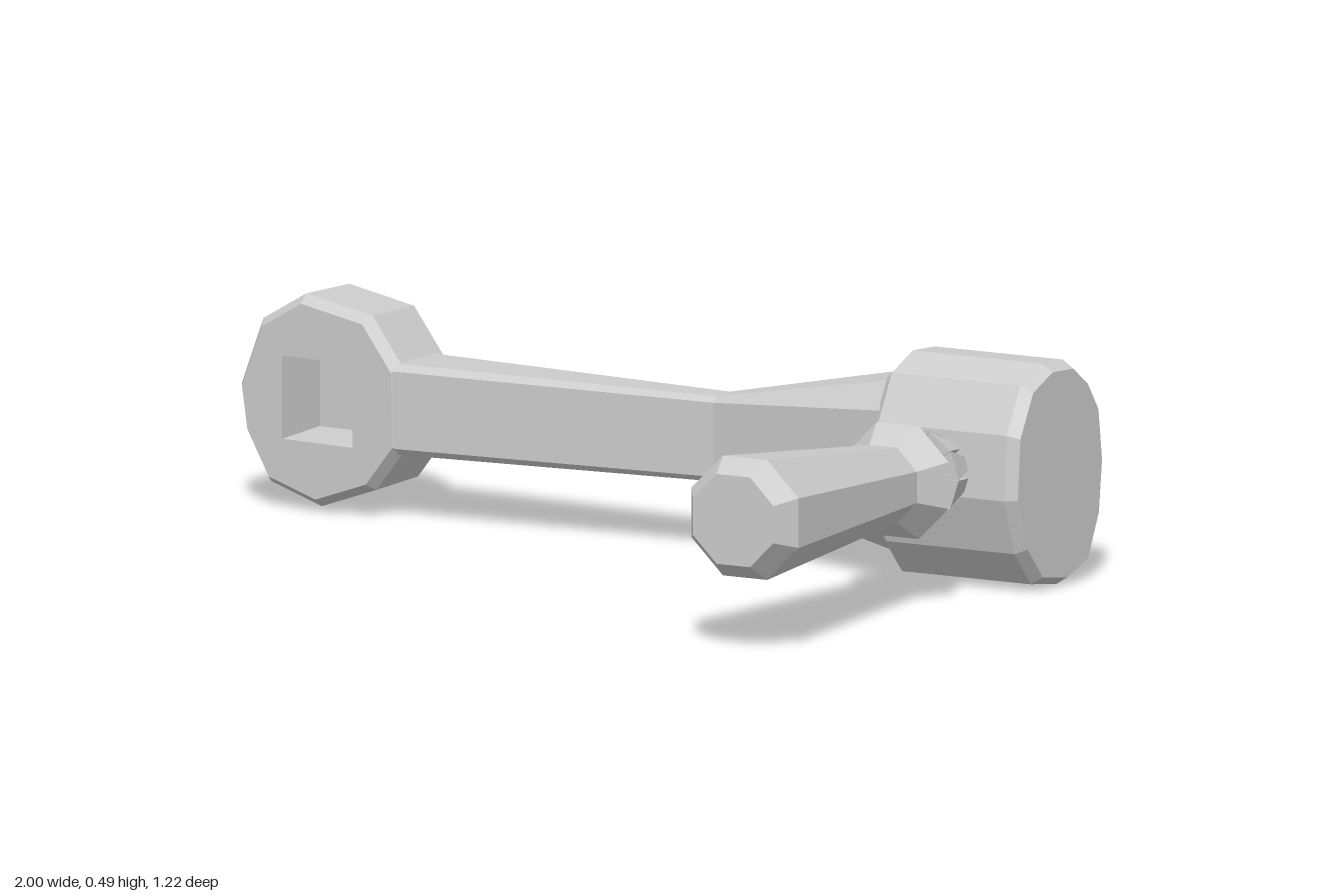
import * as THREE from 'three';

// Closed flat-shaded skin through rings of [x, y, z] points; inward turns it inside out.
function loft(rings, { capStart = true, capEnd = true, inward = false } = {}) {
  const pos = [], n = rings[0].length;
  const tri = (a, b, c) => pos.push(...a, ...b, ...c);
  const mid = (r) => [0, 1, 2].map((k) => r.reduce((s, p) => s + p[k], 0) / n);
  for (let i = 0; i < rings.length - 1; i++) {
    const a = rings[i], b = rings[i + 1];
    for (let j = 0; j < n; j++) {
      const k = (j + 1) % n;
      tri(a[j], a[k], b[k]);
      tri(a[j], b[k], b[j]);
    }
  }
  const first = rings[0], last = rings[rings.length - 1];
  for (let j = 0; j < n; j++) {
    const k = (j + 1) % n;
    if (capStart) tri(first[k], first[j], mid(first));
    if (capEnd) tri(last[j], last[k], mid(last));
  }
  // Compare the winding of the first ring with the loft direction
  const c = mid(first), d = mid(last).map((v, k) => v - c[k]);
  const area = new THREE.Vector3();
  for (let j = 0; j < n; j++) {
    const u = new THREE.Vector3(...first[j].map((v, k) => v - c[k]));
    const w = new THREE.Vector3(...first[(j + 1) % n].map((v, k) => v - c[k]));
    area.add(u.cross(w));
  }
  const flip = (area.dot(new THREE.Vector3(...d)) < 0) !== inward;
  if (flip) {
    for (let i = 0; i < pos.length; i += 9) {
      for (let k = 0; k < 3; k++) [pos[i + 3 + k], pos[i + 6 + k]] = [pos[i + 6 + k], pos[i + 3 + k]];
    }
  }
  const g = new THREE.BufferGeometry();
  g.setAttribute('position', new THREE.Float32BufferAttribute(pos, 3));
  g.computeVertexNormals();
  return g;
}

export function createModel() {
  const model = new THREE.Group();
  model.name = 'crankHandle';
  const metal = new THREE.MeshStandardMaterial({ color: 0xcccccc });
  metal.name = 'lightGrey';
  const add = (name, geometry, parent = model) => {
    const mesh = new THREE.Mesh(geometry, metal);
    mesh.name = name;
    parent.add(mesh);
    return mesh;
  };

  // Socket hub: slightly turned irregular ten-sided disc
  const hub = new THREE.Group();
  hub.name = 'socketHub';
  hub.position.set(-0.785, 0.235, -0.485);
  hub.rotation.y = -0.1;
  model.add(hub);
  const outline = [
    [-0.045, 0.23], [0.125, 0.2], [0.205, 0.095], [0.21, -0.08], [0.135, -0.175],
    [-0.005, -0.225], [-0.135, -0.185], [-0.195, -0.08], [-0.21, 0.02], [-0.155, 0.165],
  ];
  const hubRing = (z, s) => outline.map(([x, y]) => [x * s, y * s, z]);
  add('hubBody', loft(
    [hubRing(-0.11, 0.83), hubRing(-0.075, 0.98), hubRing(0.085, 1), hubRing(0.11, 0.92)],
    { capEnd: false }), hub);

  // Front face with its square socket
  const square = (h) => [[-h, -h], [h, -h], [h, h], [-h, h]];
  const face = new THREE.Shape(outline.map(([x, y]) => new THREE.Vector2(x * 0.92, y * 0.92)));
  face.holes.push(new THREE.Path(square(0.09).map(([x, y]) => new THREE.Vector2(x, y + 0.005))));
  add('hubFace', new THREE.ShapeGeometry(face), hub).position.z = 0.11;
  const socketRing = (z, h) => square(h).map(([x, y]) => [x, y + 0.005, z]);
  add('socketRecess', loft([socketRing(0.11, 0.09), socketRing(-0.02, 0.082)],
    { capStart: false, inward: true }), hub);

  // Square shaft end, just proud of the back of the hub
  add('socketBackPlate', new THREE.BoxGeometry(0.18, 0.18, 0.006), hub).position.set(0, 0.005, -0.11);

  // Arm: chamfered bar, waisted and then flaring into the drum
  const armRing = ([x, y0, y1, z0, z1, c]) => [
    [x, y0, z0 + c], [x, y0, z1 - c], [x, y0 + c, z1], [x, y1 - c, z1],
    [x, y1, z1 - c], [x, y1, z0 + c], [x, y1 - c, z0], [x, y0 + c, z0],
  ];
  add('arm', loft([
    [-0.62, 0.143, 0.34, -0.53, -0.36, 0.015],
    [0.16, 0.153, 0.337, -0.462, -0.377, 0.012],
    [0.66, 0.055, 0.435, -0.54, -0.245, 0.06],
  ].map(armRing)));

  // Drum: oval faceted cylinder with chamfered, slightly skewed ends
  const oval = [
    [-0.365, 0.485], [-0.285, 0.45], [-0.232, 0.35], [-0.222, 0.21], [-0.262, 0.09],
    [-0.325, 0.015], [-0.425, 0], [-0.51, 0.03], [-0.555, 0.13], [-0.568, 0.25],
    [-0.553, 0.37], [-0.51, 0.435], [-0.45, 0.48],
  ];
  const drumRing = ([x, s]) => oval.map(([z, y]) => [
    x - 0.08 * (z + 0.4), 0.243 + (y - 0.243) * s, -0.395 + (z + 0.395) * s,
  ]);
  add('drum', loft([[0.633, 0.92], [0.65, 1], [0.96, 1], [0.987, 0.93]].map(drumRing)));

  // Grip: eight-sided handle whose axis drifts slightly sideways
  const axis = (z) => [0.785 - 0.05 * (z + 0.2), 0.263 + 0.034 * (z + 0.2)];
  const gripRing = ([z, r]) => Array.from({ length: 8 }, (_, i) => {
    const a = (i + 0.5) * Math.PI / 4, [cx, cy] = axis(z);
    return [cx + r * Math.cos(a), cy + r * Math.sin(a), z];
  });
  add('grip', loft([
    [-0.13, 0.078], [-0.06, 0.132], [0, 0.088], [0.4, 0.125], [0.56, 0.14], [0.608, 0.105],
  ].map(gripRing)));
  add('gripStem', loft([[-0.28, 0.06], [-0.125, 0.07]].map(gripRing)));

  // Slotted collar: tapering claws around the stem
  const collar = new THREE.Group();
  collar.name = 'slottedCollar';
  model.add(collar);
  const clawRing = (mid, z, inner, outer, half) => {
    const [cx, cy] = axis(z);
    return [[inner, -half], [outer, -half], [outer, half], [inner, half]].map(([r, d]) => [
      cx + r * Math.cos(mid + d), cy + r * Math.sin(mid + d), z,
    ]);
  };
  for (let i = 0; i < 10; i++) {
    const a = (i + 0.5) * Math.PI / 5;
    add('collarClaw', loft([
      clawRing(a, -0.215, 0.04, 0.078, 0.2),
      clawRing(a, -0.13, 0.04, 0.105, 0.31),
    ]), collar);
  }

  // Rest exactly on the ground and centre the whole
  const box = new THREE.Box3().setFromObject(model);
  const c = box.getCenter(new THREE.Vector3());
  model.children.forEach((part) => part.position.sub(new THREE.Vector3(c.x, box.min.y, c.z)));
  return model;
}
